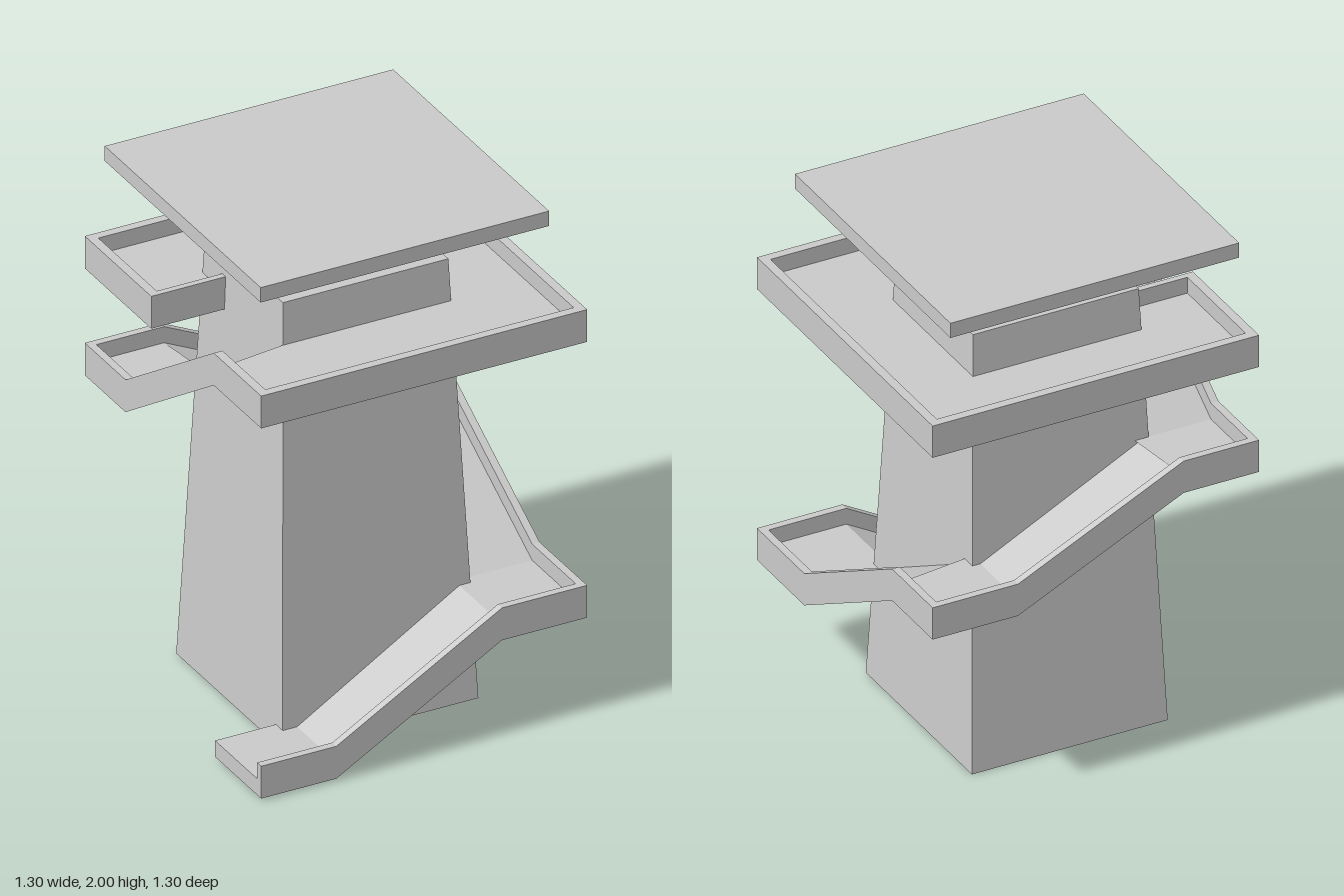
import * as THREE from 'three';

const material = new THREE.MeshStandardMaterial({ color: 0xcccccc, flatShading: true, side: THREE.DoubleSide });
const R = 0.65; // half width of the walkway square

function part(name, geometry) {
  const mesh = new THREE.Mesh(geometry, material);
  mesh.name = name;
  return mesh;
}

// Hollow block without a bottom; lower and upper are [x0, x1, z0, z1]
function shell(name, y0, y1, lower, upper = lower) {
  const geo = new THREE.BoxGeometry(1, 1, 1);
  const index = Array.from(geo.index.array);
  index.splice(18, 6); // remove the downward face
  geo.setIndex(index);
  geo.clearGroups();
  const p = geo.attributes.position;
  for (let i = 0; i < p.count; i++) {
    const top = p.getY(i) > 0;
    const r = top ? upper : lower;
    p.setXYZ(i, p.getX(i) < 0 ? r[0] : r[1], top ? y1 : y0, p.getZ(i) < 0 ? r[2] : r[3]);
  }
  geo.computeVertexNormals();
  return part(name, geo);
}

// Walkway section as [distance inward, height]: outer wall, curb, floor, inner wall
const section = (width, curb) => [[0, 0], [0, 0.13], [curb, 0.13], [curb, 0.065], [width, 0.065], [width, 0]];

// Sweep a section through stations [x, y, z, inwardX, inwardZ]; the underside stays open
function walkway(name, profile, stations) {
  const pos = [];
  const index = [];
  const n = profile.length;
  for (const [x, y, z, ix, iz] of stations)
    for (const [d, h] of profile) pos.push(x + ix * d, y + h, z + iz * d);
  for (let s = 0; s < stations.length - 1; s++)
    for (let i = 0; i < n - 1; i++) {
      const a = s * n + i, b = a + n;
      index.push(a, b, b + 1, a, b + 1, a + 1);
    }
  let geo = new THREE.BufferGeometry();
  geo.setAttribute('position', new THREE.Float32BufferAttribute(pos, 3));
  geo.setIndex(index);
  geo = geo.toNonIndexed();
  geo.computeVertexNormals();
  return part(name, geo);
}

// Stations on the four sides and mitred corners
const front = (x, y) => [x, y, R, 0, -1];
const left = (z, y) => [R, y, z, -1, 0];
const back = (x, y) => [x, y, -R, 0, 1];
const right = (z, y) => [-R, y, z, 1, 0];
const corner = (sx, sz, y) => [sx * R, y, sz * R, -sx, -sz];

export function createModel() {
  const group = new THREE.Group();
  group.name = 'tower';

  // Tapered tower, neck and flat roof
  group.add(
    shell('towerBody', 0, 1.73, [-0.41, 0.37, -0.42, 0.365], [-0.35, 0.31, -0.317, 0.255]),
    shell('neck', 1.73, 1.98, [-0.25, 0.205, -0.255, 0.2]),
    shell('roof', 1.94, 2, [-0.595, 0.555, -0.605, 0.545]),
  );

  // Ramp climbing around all four sides with corner landings
  const rampSection = section(0.34, 0.03);
  group.add(walkway('spiralRamp', rampSection, [
    front(-R, 0.01), front(-0.35, 0.01), front(0.31, 0.39),
    corner(1, 1, 0.39), left(0.3, 0.39), left(-0.35, 0.755),
    corner(1, -1, 0.755), back(0.31, 0.755), back(-0.35, 1.07),
    corner(-1, -1, 1.07), right(-0.35, 1.07), right(0.3, 1.5),
  ]));

  // End face at the foot of the ramp
  const end = part('rampEnd', new THREE.ShapeGeometry(
    new THREE.Shape(rampSection.map(([d, h]) => new THREE.Vector2(d, h)))));
  end.rotation.y = Math.PI / 2;
  end.position.set(-R, 0.01, R);
  group.add(end);

  // Upper gallery, open where the ramp arrives
  group.add(walkway('gallery', section(0.4, 0.035), [
    right(0.3, 1.5), corner(-1, 1, 1.5), corner(1, 1, 1.5),
    corner(1, -1, 1.5), corner(-1, -1, 1.5), right(-0.16, 1.5),
  ]));

  // Curb across the end of the gallery
  const curb = part('galleryEndCurb', new THREE.BoxGeometry(0.35, 0.13, 0.025));
  curb.position.set(-R + 0.175, 1.565, -0.1725);
  group.add(curb);

  return group;
}
